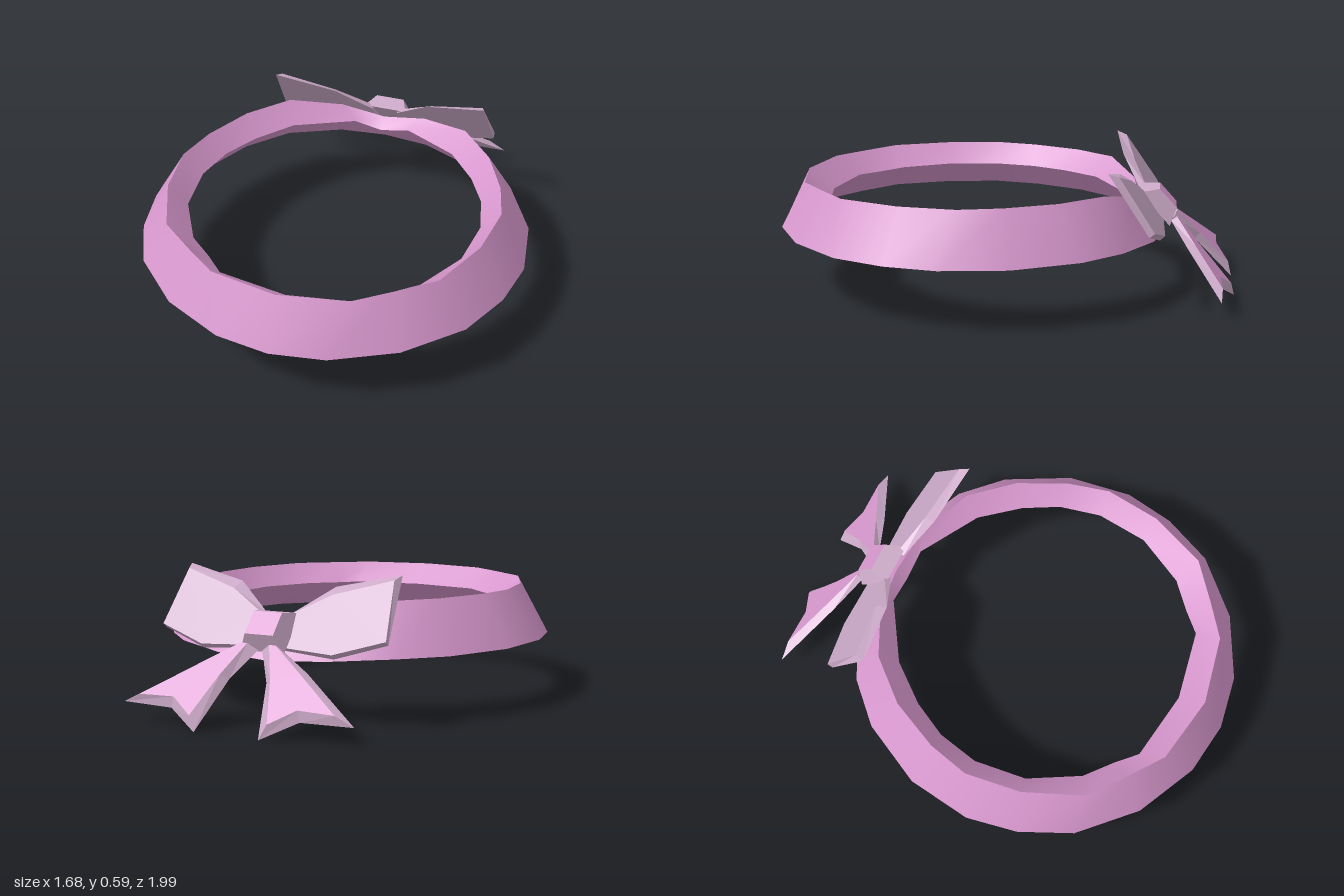
import * as THREE from 'three';

const pink = new THREE.MeshStandardMaterial({ color: 0xd898ce });
pink.name = 'pink';
const mauve = new THREE.MeshStandardMaterial({ color: 0xcdabc9 });
mauve.name = 'mauve';

// Half plan of the band from front to back: [x, z] of each edge loop
const lowerEdge = [[0, .995], [.23, .96], [.49, .83], [.70, .62], [.80, .40], [.84, .18], [.80, -.10], [.66, -.37], [.50, -.53], [.25, -.65], [0, -.68]];
const ridgeEdge = [[0, .89], [.29, .835], [.43, .73], [.58, .61], [.685, .36], [.715, .12], [.67, -.06], [.57, -.27], [.42, -.44], [.20, -.55], [0, -.58]];
const innerEdge = [[0, .78], [.30, .73], [.38, .65], [.49, .555], [.605, .345], [.63, .12], [.59, -.06], [.51, -.21], [.38, -.37], [.13, -.53], [0, -.53]];

// Close a half plan into a loop; the height runs from y to yBack behind the bow
function ringLoop(half, y, yBack) {
  const side = half.map(([x, z], i) => {
    const t = Math.max(0, i - 8) / 2;
    return [x, y + (yBack - y) * t, z];
  });
  const other = side.slice(1, -1).reverse().map(([x, py, z]) => [-x, py, z]);
  return [...side, ...other];
}

// Smooth strip of faces joining two loops
function strip(a, b) {
  const n = a.length, index = [];
  for (let i = 0; i < n; i++) {
    const j = (i + 1) % n;
    index.push(i, j, n + j, i, n + j, n + i);
  }
  const geo = new THREE.BufferGeometry();
  geo.setAttribute('position', new THREE.Float32BufferAttribute([...a, ...b].flat(), 3));
  geo.setIndex(index);
  geo.computeVertexNormals();
  return geo;
}

// Flat-faced geometry from triangles
function faceted(triangles) {
  const geo = new THREE.BufferGeometry();
  geo.setAttribute('position', new THREE.Float32BufferAttribute(triangles.flat(2), 3));
  geo.computeVertexNormals();
  return geo;
}

// Bevelled plate between a back outline and a front outline, as [front, rim, back]
function plate(back, front, zBack, zFront) {
  const vec = (pts) => pts.map(([x, y]) => new THREE.Vector2(x, y));
  if (THREE.ShapeUtils.isClockWise(vec(back))) {
    back = [...back].reverse();
    front = [...front].reverse();
  }
  const b = back.map(([x, y]) => [x, y, zBack]);
  const f = front.map(([x, y]) => [x, y, zFront]);
  const cap = (pts, ring) => THREE.ShapeUtils.triangulateShape(vec(pts), []).map((t) => t.map((i) => ring[i]));
  const rim = [];
  b.forEach((p, i) => {
    const j = (i + 1) % b.length;
    rim.push([p, b[j], f[j]], [p, f[j], f[i]]);
  });
  return [cap(front, f), rim, cap(back, b).map((t) => t.reverse())].map(faceted);
}

function addPlate(parent, name, geos, mats) {
  const group = new THREE.Group();
  group.name = name;
  ['Front', 'Rim', 'Back'].forEach((part, i) => {
    const mesh = new THREE.Mesh(geos[i], mats[i]);
    mesh.name = name + part;
    group.add(mesh);
  });
  parent.add(group);
}

// Group whose flat parts face backwards, leaning towards the front by its up direction
function leaningGroup(name, y, z, upY, upZ) {
  const group = new THREE.Group();
  group.name = name;
  const up = new THREE.Vector3(0, upY, upZ).normalize();
  const across = new THREE.Vector3(-1, 0, 0);
  const out = new THREE.Vector3().crossVectors(across, up);
  group.quaternion.setFromRotationMatrix(new THREE.Matrix4().makeBasis(across, up, out));
  group.position.set(0, y, z);
  return group;
}

export function createModel() {
  const model = new THREE.Group();
  model.name = 'bowCollar';

  // Band: sloping outside, inward lip, undercut inside and narrow underside
  const band = new THREE.Group();
  band.name = 'band';
  const hemEdge = ridgeEdge.map(([x, z], i) => {
    const [ox, oz] = lowerEdge[i];
    return [x + (ox - x) * .2, z + (oz - z) * .2];
  });
  const loops = [
    ringLoop(lowerEdge, .265, .242),
    ringLoop(ridgeEdge, .48, .385),
    ringLoop(innerEdge, .39, .34),
    ringLoop(hemEdge, .28, .27),
  ];
  ['outerWall', 'topLip', 'innerWall', 'underside'].forEach((name, i) => {
    const mesh = new THREE.Mesh(strip(loops[i], loops[(i + 1) % loops.length]), pink);
    mesh.name = name;
    band.add(mesh);
  });
  model.add(band);

  // Bow: loops stand steeper against the band, tails and knot lean further out
  const bowLoops = leaningGroup('bowLoops', .36, -.627, .83, .555);
  const bowTails = leaningGroup('bowTailsAndKnot', .36, -.685, .74, .67);

  // Loops have a broad bevel along the top, tails a narrow one all round
  const loopBack = [[.05, -.08], [.30, -.1], [.515, -.022], [.495, .283], [.22, .215], [.06, .08]];
  const loopFront = [[.05, -.08], [.30, -.095], [.515, -.02], [.48, .245], [.23, .165], [.06, .06]];
  const tailBack = [[.01, -.08], [.085, -.225], [.145, -.475], [.29, -.38], [.52, -.375], [.245, -.165], [.08, -.06]];
  const tailFront = [[.05, -.07], [.115, -.225], [.175, -.42], [.28, -.345], [.44, -.35], [.23, -.185], [.08, -.07]];
  for (const s of [1, -1]) {
    const flip = (pts) => pts.map(([x, y]) => [s * x, y]);
    const side = s > 0 ? 'right' : 'left';
    addPlate(bowLoops, side + 'Loop', plate(flip(loopBack), flip(loopFront), -.01, .018), [mauve, mauve, mauve]);
    addPlate(bowTails, side + 'Tail', plate(flip(tailBack), flip(tailFront), -.012, .018), [pink, mauve, mauve]);
  }

  // Knot: pink pad with mauve sloping sides
  const rect = (w, low, high) => [[-w, low], [w, low], [w, high], [-w, high]];
  addPlate(bowTails, 'knot', plate(rect(.1, -.075, .12), rect(.065, -.04, .07), -.03, .04), [pink, mauve, mauve]);
  model.add(bowLoops, bowTails);
  return model;
}
